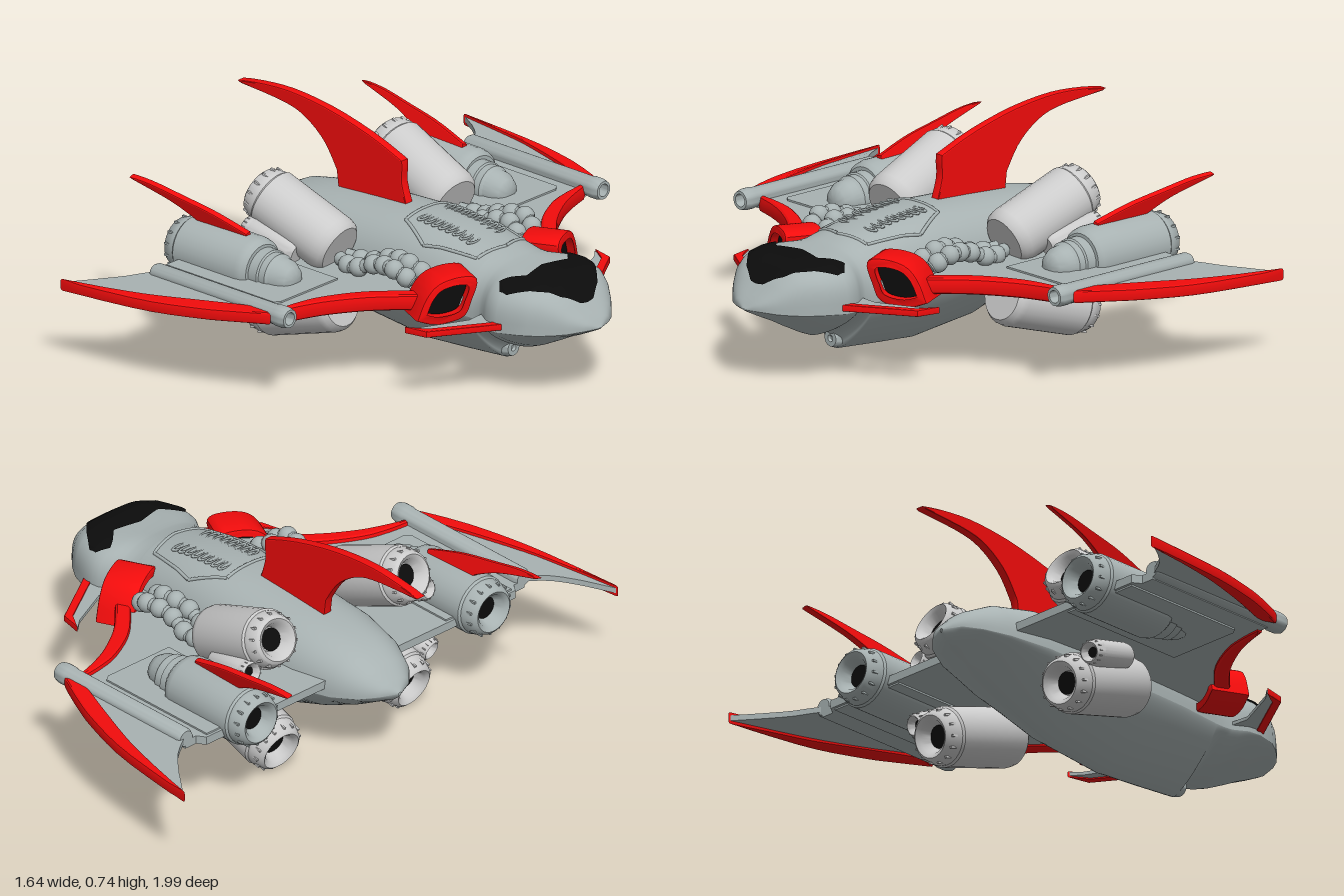
import * as THREE from 'three';
import { toCreasedNormals } from 'three/addons/utils/BufferGeometryUtils.js';

const V3 = (x, y, z) => new THREE.Vector3(x, y, z);
const mat = (color) => new THREE.MeshStandardMaterial({ color, side: THREE.DoubleSide });
const GREY = mat(0xa8b2b2), LIGHT = mat(0xcccccc), RED = mat(0xf20c0c), BLACK = mat(0x0c0c0c);

function mesh(name, geo, material) {
  const m = new THREE.Mesh(geo, material);
  m.name = name;
  return m;
}
const creased = (geo) => toCreasedNormals(geo, 0.6);

// Piecewise linear lookup in rows sorted by their first column
function lookup(rows, x, col = 1) {
  let i = 1;
  while (i < rows.length - 1 && x > rows[i][0]) i++;
  const a = rows[i - 1], b = rows[i];
  return THREE.MathUtils.lerp(a[col], b[col], THREE.MathUtils.clamp((x - a[0]) / (b[0] - a[0]), 0, 1));
}

// Hull stations: x, half width, top, chine, keel
const HULL = [
  [-0.72, 0.005, 0.315, 0.31, 0.3], [-0.69, 0.07, 0.35, 0.31, 0.275], [-0.64, 0.12, 0.395, 0.3, 0.25],
  [-0.55, 0.165, 0.44, 0.29, 0.2], [-0.4, 0.2, 0.47, 0.28, 0.13], [-0.2, 0.213, 0.485, 0.27, 0.058],
  [0.05, 0.215, 0.5, 0.27, 0.032], [0.22, 0.21, 0.49, 0.27, 0.045], [0.39, 0.2, 0.458, 0.265, 0.06],
  [0.4, 0.2, 0.455, 0.265, 0.09], [0.43, 0.2, 0.447, 0.265, 0.13], [0.46, 0.205, 0.44, 0.265, 0.13],
  [0.51, 0.235, 0.435, 0.265, 0.13], [0.56, 0.24, 0.432, 0.265, 0.15], [0.64, 0.215, 0.427, 0.27, 0.19],
  [0.69, 0.182, 0.412, 0.27, 0.217], [0.73, 0.147, 0.382, 0.272, 0.235], [0.765, 0.11, 0.343, 0.275, 0.252],
  [0.795, 0.065, 0.31, 0.28, 0.267], [0.815, 0.004, 0.282, 0.28, 0.278],
];
const N_BOT = 1.28;
// The head has a boxier cross-section than the body
const nTop = (x) => 2.4 + 1.1 * THREE.MathUtils.smoothstep(x, 0.4, 0.56);

// Height of the upper hull at (x, z)
function topY(x, z) {
  const w = lookup(HULL, x, 1), t = lookup(HULL, x, 2), m = lookup(HULL, x, 3), n = nTop(x);
  return m + (t - m) * Math.pow(Math.max(0, 1 - Math.pow(Math.abs(z) / w, n)), 1 / n);
}

// Grid surface from a function of u and v in 0..1
function grid(f, nu, nv) {
  const pos = [], idx = [];
  for (let i = 0; i <= nu; i++) for (let j = 0; j <= nv; j++) pos.push(...f(i / nu, j / nv));
  for (let i = 0; i < nu; i++) for (let j = 0; j < nv; j++) {
    const a = i * (nv + 1) + j, b = a + nv + 1;
    idx.push(a, a + 1, b, b, a + 1, b + 1);
  }
  const g = new THREE.BufferGeometry();
  g.setAttribute('position', new THREE.Float32BufferAttribute(pos, 3));
  g.setIndex(idx);
  g.computeVertexNormals();
  return g;
}

function hullHalf(upper) {
  const xs = HULL.flatMap((r, i) => (i ? [(HULL[i - 1][0] + r[0]) / 2, r[0]] : [r[0]]));
  return grid((u, v) => {
    const x = xs[Math.round(u * (xs.length - 1))], a = Math.PI * (upper ? 1 - v : v), n = upper ? nTop(x) : N_BOT;
    const w = lookup(HULL, x, 1), m = lookup(HULL, x, 3), e = lookup(HULL, x, upper ? 2 : 4);
    const c = Math.cos(a), s = Math.abs(Math.sin(a));
    return [x, m + (e - m) * Math.pow(s, 2 / n), w * Math.sign(c) * Math.pow(Math.abs(c), 2 / n)];
  }, xs.length - 1, 40);
}

const corners = (pts) => pts.map((p) => new THREE.Vector2(...p));
const curve = (pts, n = 14) => new THREE.SplineCurve(corners(pts)).getPoints(n);

const slab = (pts, depth, bevel) => new THREE.ExtrudeGeometry(new THREE.Shape(pts), {
  depth, bevelEnabled: bevel > 0, bevelThickness: bevel, bevelSize: bevel * 0.6, bevelSegments: 2 });
// Horizontal plate drawn in (x, z), centred on height y
const plate = (name, pts, y, h, material, bevel = 0) =>
  mesh(name, creased(slab(pts, h, bevel).rotateX(Math.PI / 2).translate(0, y + h / 2, 0)), material);
// Upright fin drawn in (x, y), centred on z = 0
const fin = (name, pts, h) => mesh(name, creased(slab(pts, h, 0.006).translate(0, 0, -h / 2)), RED);

// Lathe turned about the line from a to b; profile is [radius, fraction of the length]
function turned(name, a, b, profile, material) {
  const dir = b.clone().sub(a), len = dir.length();
  const g = new THREE.LatheGeometry(profile.map(([r, t]) => new THREE.Vector2(r, t * len)), 28);
  const m = mesh(name, creased(g), material);
  m.position.copy(a);
  m.quaternion.setFromUnitVectors(V3(0, 1, 0), dir.normalize());
  return m;
}

// Barrel engine with a chamfered, ribbed, hollow nozzle
function engine(name, a, b, r, material) {
  const g = new THREE.Group();
  g.name = name;
  const k = [[0, 0.13], [0.4, 0.13], [0.55, 0.03], [0.7, 0], [0.8, 0.02], [0.94, 0.12], [0.94, 0.15],
    [1, 0.17], [1, 0.9], [0.95, 0.96], [0.82, 1], [0, 1]];
  const body = turned(name + 'Body', a, b, k.map(([q, t]) => [q * r, t]), material);
  g.add(body, turned(name + 'Throat', a, b, [[0, 0.11], [0.38 * r, 0.11]], BLACK));
  for (let i = 0; i < 14; i++) {
    const t = (i / 14) * Math.PI * 2;
    const rib = mesh('nozzleRib', new THREE.BoxGeometry(r * 0.07, r * 0.28, r * 0.07), material);
    rib.position.set(Math.cos(t) * r * 0.87, r * 0.28, Math.sin(t) * r * 0.87).applyQuaternion(body.quaternion).add(a);
    rib.quaternion.copy(body.quaternion);
    g.add(rib);
  }
  return g;
}

// Everything on the +z side
function buildSide() {
  const s = new THREE.Group();
  // Wing, its tip and red leading edges
  const lead = [[0.045, 0.74], [0.07, 0.66], [0.11, 0.57], [0.19, 0.45], [0.3, 0.34]];
  const wing = [...corners([[-0.53, 0.1], [-0.53, 0.71], [-0.5, 0.73], [-0.5, 0.78], [0.045, 0.78]]),
    ...curve(lead), ...corners([[0.4, 0.22], [0.4, 0.1]])];
  s.add(plate('wing', wing, 0.33, 0.03, GREY));
  s.add(plate('wingLeadingEdge', [...curve(lead),
    ...curve([[0.27, 0.32], [0.15, 0.44], [0.075, 0.57], [0.05, 0.66], [0.04, 0.74]])], 0.333, 0.024, RED, 0.016));
  s.add(plate('wingFlap', corners([[-0.52, 0.4], [-0.52, 0.7], [-0.03, 0.7], [-0.015, 0.68], [-0.015, 0.4]]), 0.33, 0.042, GREY));
  const outer = [[0.05, 0.81], [-0.06, 0.86], [-0.18, 0.905], [-0.39, 0.957], [-0.72, 0.995]];
  const tip = plate('wingTip', [...curve(outer), ...curve([[-0.63, 0.93], [-0.55, 0.86], [-0.49, 0.77]], 6),
    ...corners([[0.05, 0.77]])], 0.346, 0.02, GREY);
  const tipEdge = plate('wingTipEdge', [...curve(outer),
    ...curve([[-0.55, 0.965], [-0.38, 0.925], [-0.2, 0.865], [-0.08, 0.82], [0, 0.79]])], 0.346, 0.022, RED, 0.01);
  for (const m of [tip, tipEdge]) {
    const p = m.geometry.attributes.position;
    for (let i = 0; i < p.count; i++) p.setY(i, p.getY(i) - 0.037 * (Math.max(0, p.getZ(i) - 0.8) / 0.2) ** 1.5);
    s.add(m);
  }
  s.add(turned('wingBarrel', V3(-0.5, 0.352, 0.775), V3(0.115, 0.352, 0.775),
    [[0, 0], [0.028, 0], [0.034, 0.02], [0.034, 0.9], [0.037, 0.92], [0.037, 0.97], [0.032, 1], [0.022, 1], [0.02, 0.93], [0, 0.93]], GREY));

  // Outer pod with stepped nose and fin
  s.add(engine('outerPod', V3(-0.61, 0.365, 0.535), V3(-0.23, 0.365, 0.535), 0.105, GREY));
  s.add(turned('podNose', V3(-0.24, 0.36, 0.53), V3(-0.085, 0.36, 0.53),
    [[0.08, 0], [0.08, 0.3], [0.074, 0.33], [0.074, 0.5], [0.066, 0.56], [0.062, 0.74], [0.045, 0.92], [0.025, 0.99], [0, 1]], GREY));
  const podFin = fin('podFin', [...curve([[-0.79, 0.565], [-0.7, 0.56], [-0.58, 0.54], [-0.44, 0.515], [-0.3, 0.475]]),
    ...corners([[-0.3, 0.45], [-0.5, 0.45]]), ...curve([[-0.52, 0.475], [-0.62, 0.52], [-0.78, 0.562]], 8)], 0.012);
  podFin.position.set(0, 0.02, 0.4);
  podFin.rotation.set(0.27, 0.03, 0);
  s.add(podFin);

  // Tilted upper and lower engines and the small boosters beside them
  s.add(engine('upperEngine', V3(-0.455, 0.53, 0.312), V3(-0.11, 0.395, 0.285), 0.104, LIGHT));
  s.add(engine('lowerEngine', V3(-0.465, 0.1, 0.305), V3(-0.1, 0.21, 0.285), 0.104, LIGHT));
  s.add(engine('upperBooster', V3(-0.43, 0.43, 0.405), V3(-0.22, 0.375, 0.375), 0.045, LIGHT));
  s.add(engine('lowerBooster', V3(-0.435, 0.187, 0.415), V3(-0.23, 0.25, 0.38), 0.047, LIGHT));

  // Segmented hoses
  for (const z of [0.24, 0.315]) {
    const path = new THREE.CatmullRomCurve3([V3(-0.1, 0.37, (z + 0.28) / 2), V3(-0.02, 0.365, z), V3(0.08, 0.4, z - 0.008),
      V3(0.17, 0.412, z + 0.008), V3(0.24, 0.375, z - 0.015)]);
    s.add(mesh('hose', new THREE.TubeGeometry(path, 24, 0.024, 10), GREY));
    for (let i = 0; i < 6; i++) {
      const bead = mesh('hoseSegment', new THREE.SphereGeometry(0.034, 14, 10), GREY);
      bead.position.copy(path.getPoint(0.16 + i * 0.15));
      s.add(bead);
    }
  }

  // Air intake facing forward and outward
  const rim = [[-0.105, 0.295], [-0.075, 0.365], [-0.03, 0.41], [0.045, 0.425], [0.1, 0.41], [0.08, 0.34], [0.05, 0.287], [-0.04, 0.275]];
  const shape = new THREE.Shape(curve([...rim, rim[0]], 40));
  const inner = rim.map(([u, y]) => [u * 0.74, 0.35 + (y - 0.35) * 0.7]);
  const hole = curve([...inner, inner[0]], 40);
  shape.holes.push(new THREE.Path(hole));
  const intake = new THREE.Group();
  intake.name = 'intake';
  intake.add(mesh('intakeRim', creased(new THREE.ExtrudeGeometry(shape, {
    depth: 0.12, bevelThickness: 0.008, bevelSize: 0.006, bevelSegments: 2 })), RED));
  const dark = mesh('intakeOpening', new THREE.ShapeGeometry(new THREE.Shape(hole)), BLACK);
  dark.position.z = 0.1;
  intake.add(dark);
  intake.position.set(0.28, 0, 0.242);
  intake.rotation.y = THREE.MathUtils.degToRad(65);
  s.add(intake);

  // Canard
  s.add(plate('canard', corners([[0.46, 0.2], [0.465, 0.27], [0.39, 0.43], [0.36, 0.465], [0.43, 0.445], [0.58, 0.22], [0.57, 0.18]]), 0.288, 0.012, GREY));
  s.add(plate('canardEdge', corners([[0.36, 0.47], [0.44, 0.452], [0.59, 0.215], [0.56, 0.215], [0.425, 0.43]]), 0.288, 0.016, RED, 0.003));
  return s;
}

// Copy of a side reflected through z = 0, with the face order restored
function mirrored(side) {
  const out = new THREE.Group();
  side.updateMatrixWorld(true);
  side.traverse((o) => {
    if (!o.isMesh) return;
    const g = (o.geometry.index ? o.geometry.toNonIndexed() : o.geometry.clone()).applyMatrix4(o.matrixWorld).scale(1, 1, -1);
    for (const { array, itemSize: k } of Object.values(g.attributes))
      for (let i = 0; i < array.length; i += 3 * k)
        for (let j = i + k; j < i + 2 * k; j++) [array[j], array[j + k]] = [array[j + k], array[j]];
    out.add(mesh(o.name, g, o.material));
  });
  return out;
}

export function createModel() {
  const ship = new THREE.Group();
  ship.name = 'spacecraft';
  ship.add(mesh('upperHull', hullHalf(true), GREY), mesh('lowerHull', hullHalf(false), GREY));

  // Cockpit window draped over the head
  const front = [[0, 0.755], [0.03, 0.752], [0.09, 0.715], [0.15, 0.65], [0.205, 0.575]];
  const rear = [[0, 0.545], [0.06, 0.56], [0.1, 0.57], [0.14, 0.53], [0.17, 0.51], [0.205, 0.545]];
  ship.add(mesh('cockpitWindow', grid((u, v) => {
    const z = 0.41 * (u - 0.5), x = THREE.MathUtils.lerp(lookup(rear, Math.abs(z)), lookup(front, Math.abs(z)), v);
    return [x + 0.003, topY(x, z) + 0.005, z * 1.015];
  }, 60, 24), BLACK));

  // Hexagonal deck panel frame and vent slots
  const hex = [[0.02, 0.1], [0.15, 0.155], [0.36, 0.115], [0.385, 0], [0.36, -0.115], [0.15, -0.155], [0.02, -0.1]];
  hex.forEach(([x, z], i) => {
    const [x2, z2] = hex[(i + 1) % hex.length], pts = [];
    for (let k = 0; k <= 6; k++) {
      const px = x + (x2 - x) * k / 6, pz = z + (z2 - z) * k / 6;
      pts.push(V3(px, topY(px, pz), pz));
    }
    ship.add(mesh('deckPanelEdge', new THREE.TubeGeometry(new THREE.CatmullRomCurve3(pts), 12, 0.006, 8), GREY));
  });
  for (const z of [-0.062, 0.062]) for (let i = 0; i < 8; i++) {
    const x = 0.07 + i * 0.032;
    const slot = mesh('ventSlot', new THREE.TorusGeometry(0.011, 0.003, 6, 16).rotateX(Math.PI / 2).scale(1, 1.5, 2.5), GREY);
    slot.position.set(x, topY(x, z), z);
    ship.add(slot);
  }

  // Dorsal fin
  ship.add(fin('dorsalFin', [
    ...curve([[-0.82, 0.728], [-0.7, 0.745], [-0.57, 0.75], [-0.4, 0.732], [-0.22, 0.69], [-0.08, 0.64]]),
    ...curve([[-0.078, 0.615], [-0.08, 0.56], [-0.055, 0.48]], 6), ...corners([[-0.36, 0.45]]),
    ...curve([[-0.37, 0.53], [-0.43, 0.62], [-0.52, 0.685], [-0.62, 0.712], [-0.81, 0.725]])], 0.022));

  // Chin turret in front of the keel
  ship.add(turned('chinTurret', V3(0.36, 0.1, 0), V3(0.42, 0.1, 0), [[0.035, 0], [0.035, 0.7], [0.028, 1], [0.012, 1], [0.01, 0.8], [0, 0.8]], GREY));

  const left = buildSide(), right = mirrored(left);
  left.name = 'leftSide';
  right.name = 'rightSide';
  ship.add(left, right);
  return ship;
}
